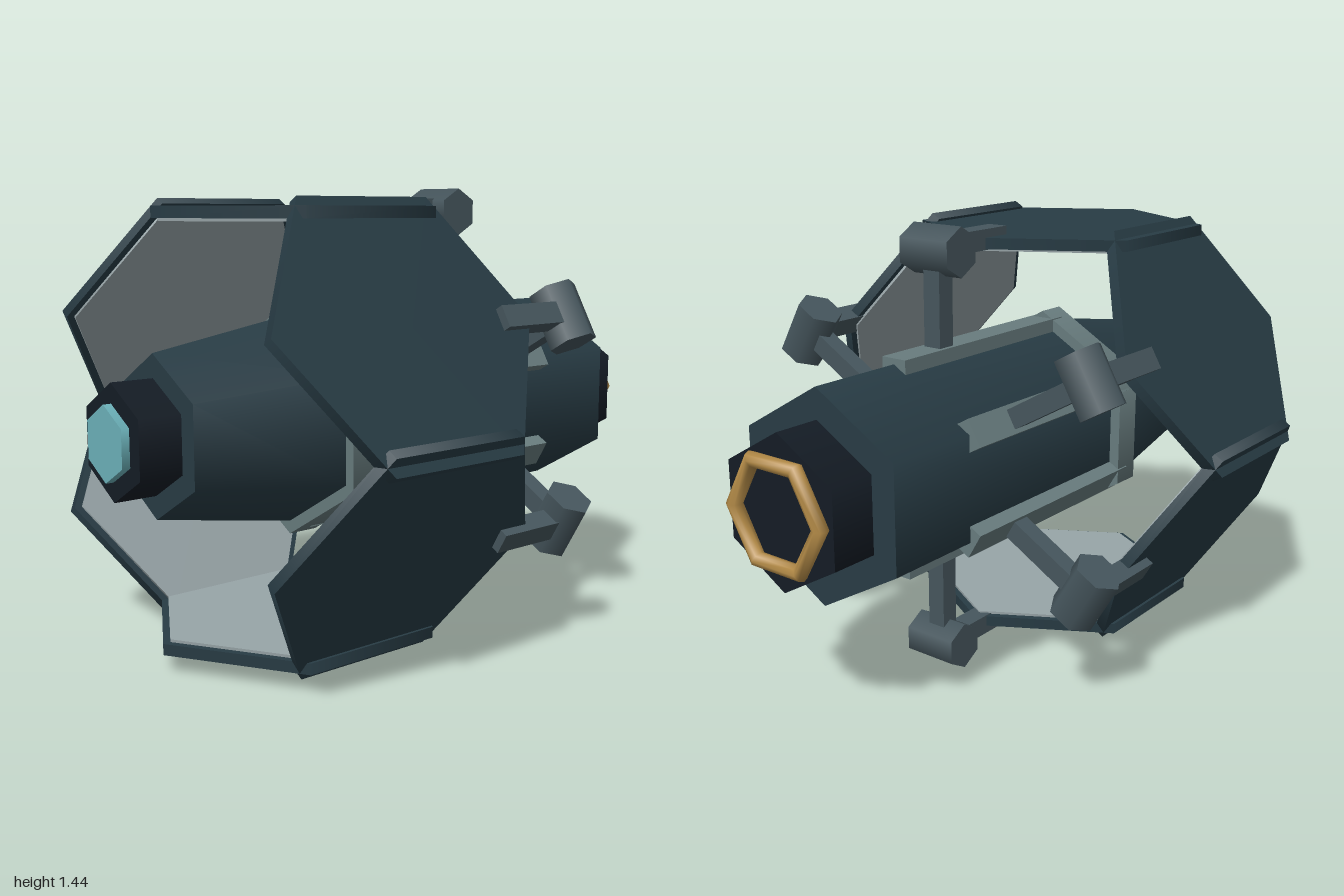
import * as THREE from 'three';

const paint = (color) => new THREE.MeshStandardMaterial({ color });
const hullMat = paint(0x283c45);
const darkMat = paint(0x141c25);
const trimMat = paint(0x687c7e);
const armMat = paint(0x46565d);
const linerMat = paint(0x98a5a8);
const glowMat = paint(0x6cb2ba);
const brassMat = paint(0xb58c48);

function add(parent, name, geometry, material, x = 0, y = 0, z = 0) {
  const mesh = new THREE.Mesh(geometry, material);
  mesh.name = name;
  mesh.position.set(x, y, z);
  parent.add(mesh);
  return mesh;
}

// Six-sided section along z, corners at top and bottom
function hexSection(parent, name, material, zBack, zFront, rBack, rFront = rBack) {
  const geometry = new THREE.CylinderGeometry(rFront, rBack, zFront - zBack, 6).rotateX(Math.PI / 2);
  return add(parent, name, geometry, material, 0, 0, (zBack + zFront) / 2);
}

// One sector of the ring, built at the top: shield panel, arm, hub and rail
function sector(index) {
  const group = new THREE.Group();
  group.name = 'ringSector' + (index + 1);

  // Shield panel with a pale inner lining
  add(group, 'shieldPanel', new THREE.CylinderGeometry(0.475, 0.475, 0.035, 6), hullMat, 0, 0.643, 0.357);
  add(group, 'panelLining', new THREE.CylinderGeometry(0.45, 0.45, 0.01, 6), linerMat, 0, 0.622, 0.357);

  // Support arm, hinge hub and the bar that holds the panel
  add(group, 'supportArm', new THREE.BoxGeometry(0.062, 0.32, 0.062), armMat, 0, 0.45, -0.285);
  const hub = new THREE.CylinderGeometry(0.077, 0.077, 0.185, 6).rotateY(Math.PI / 2).rotateZ(Math.PI / 2);
  add(group, 'hingeHub', hub, armMat, 0, 0.643, -0.285);
  add(group, 'panelBar', new THREE.BoxGeometry(0.07, 0.065, 0.28), armMat, 0, 0.655, -0.13);

  // Rail along the hull corner
  add(group, 'hullRail', new THREE.BoxGeometry(0.09, 0.05, 0.8), trimMat, 0, 0.323, -0.09);

  group.rotation.z = (index * Math.PI) / 3;
  return group;
}

export function createModel() {
  const model = new THREE.Group();
  model.name = 'spaceStation';
  const station = new THREE.Group();
  station.name = 'station';
  station.position.y = 0.72;
  model.add(station);

  // Core, from back to front
  hexSection(station, 'rearEngine', darkMat, -0.96, -0.8, 0.235);
  hexSection(station, 'mainHull', hullMat, -0.81, 0.35, 0.33);
  hexSection(station, 'collar', trimMat, 0.26, 0.36, 0.37);
  hexSection(station, 'taperedNose', hullMat, 0.35, 0.84, 0.33, 0.245);
  hexSection(station, 'noseCap', darkMat, 0.83, 0.975, 0.173);
  hexSection(station, 'frontLens', glowMat, 0.97, 1.0, 0.113);

  // Brass ring around the rear nozzle
  add(station, 'nozzleRing', new THREE.TorusGeometry(0.17, 0.025, 8, 6), brassMat, 0, 0, -0.975);

  for (let i = 0; i < 6; i++) station.add(sector(i));
  return model;
}
